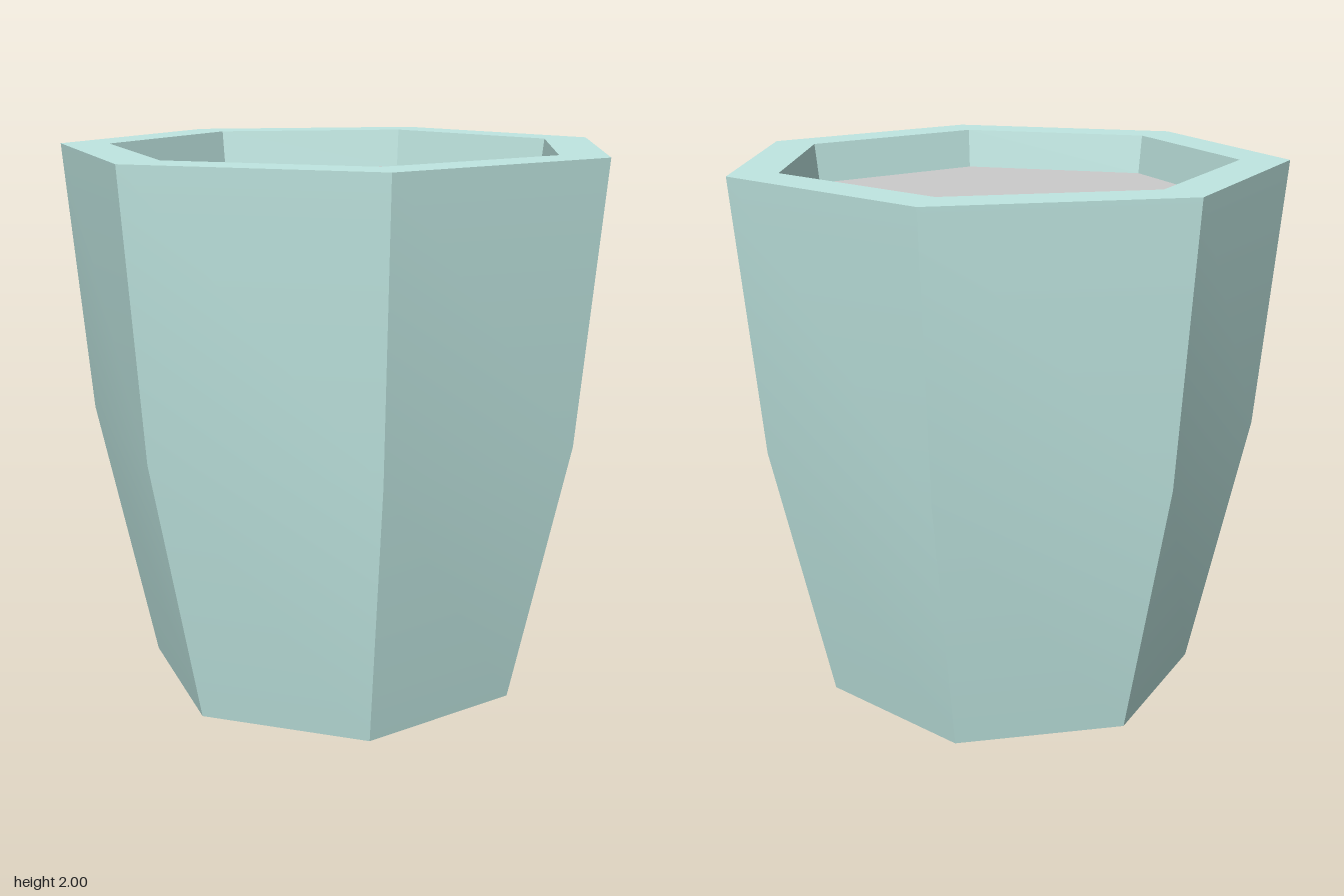
import * as THREE from 'three';
import { toCreasedNormals } from 'three/addons/utils/BufferGeometryUtils.js';

const SIDES = 7;
const CENTRE_Z = 0.05; // a heptagon's bounds are not centred on its axis

export function createModel() {
  const model = new THREE.Group();
  model.name = 'planter';

  // Pot: closed base, bulging outer wall, flat rim and short inner wall
  const profile = [
    [0, 0], [0.725, 0], [0.94, 1], [1.026, 2], [0.845, 2], [0.827, 1.85],
  ].map(([r, y]) => new THREE.Vector2(r, y));
  const potGeometry = toCreasedNormals(
    new THREE.LatheGeometry(profile, SIDES, Math.PI), 0.6);
  const pot = new THREE.Mesh(potGeometry,
    new THREE.MeshStandardMaterial({ color: 0xc0e7e2 }));
  pot.name = 'pot';

  // Soil: flat heptagon just below the rim, one corner pointing back
  const soilGeometry = new THREE.CircleGeometry(0.827, SIDES, Math.PI / 2);
  soilGeometry.rotateX(-Math.PI / 2);
  const soil = new THREE.Mesh(soilGeometry,
    new THREE.MeshStandardMaterial({ color: 0xcccccc, side: THREE.DoubleSide }));
  soil.name = 'soil';
  soil.position.y = 1.85;

  model.add(pot, soil);
  for (const part of model.children) part.position.z = CENTRE_Z;
  return model;
}
